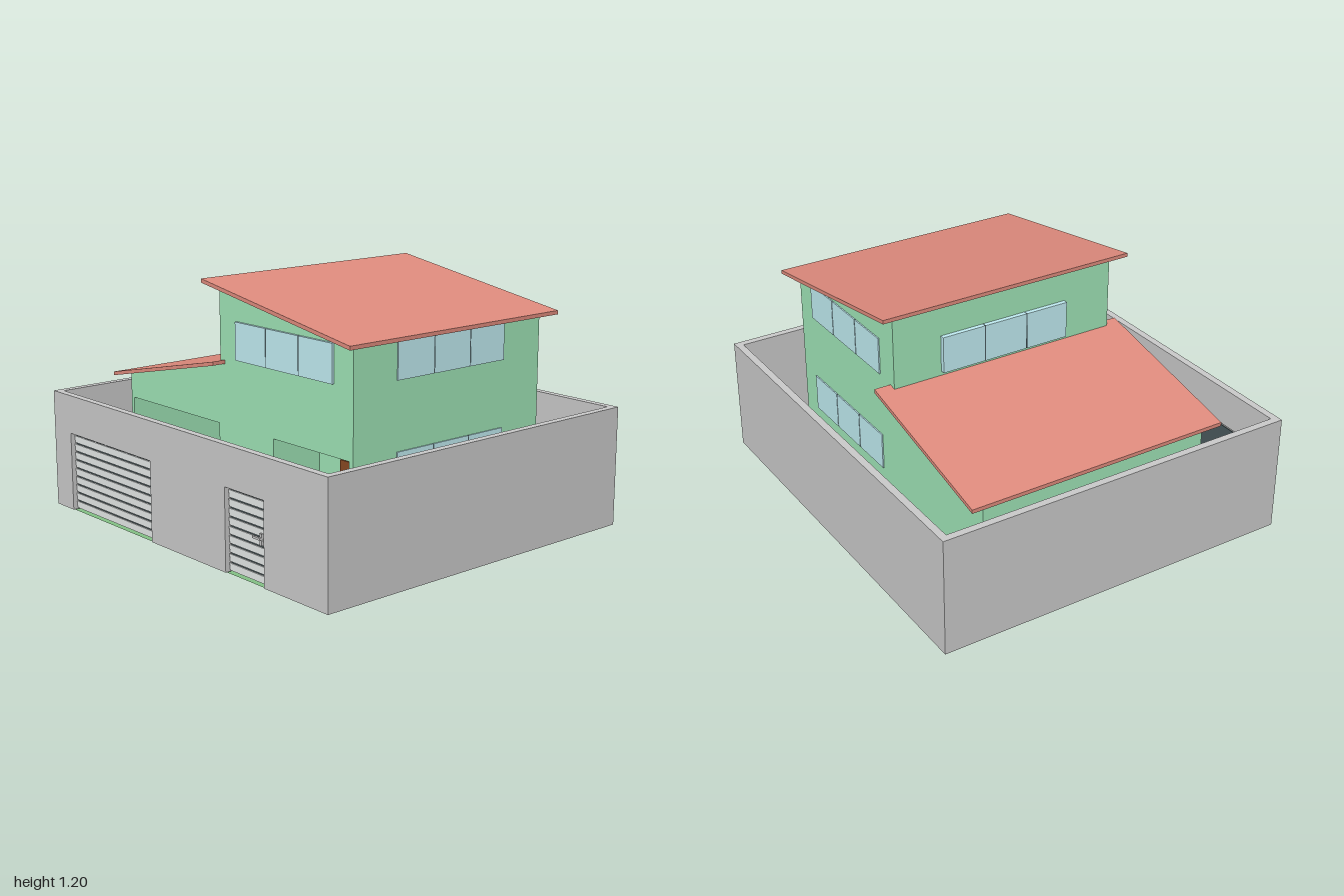
import * as THREE from 'three';

const mat = (color) => new THREE.MeshStandardMaterial({ color });

export function createModel() {
  const model = new THREE.Group();
  const grey = mat(0xcccccc), green = mat(0xa0e6b8), roofRed = mat(0xe08c7e);
  const glass = mat(0xc2eef4), white = mat(0xf2f6f5), wood = mat(0x8a4a22);
  const dark = mat(0x4a5a5e), paving = mat(0x98a2b0), grass = mat(0x84c286);
  grass.side = THREE.DoubleSide;

  const add = (name, geo, material, parent = model) => {
    const mesh = new THREE.Mesh(geo, material);
    mesh.name = name;
    parent.add(mesh);
    return mesh;
  };
  // Box given by its lower and upper limits on each axis
  const box = (name, x0, x1, y0, y1, z0, z1, material, parent) => {
    const mesh = add(name, new THREE.BoxGeometry(x1 - x0, y1 - y0, z1 - z0), material, parent);
    mesh.position.set((x0 + x1) / 2, (y0 + y1) / 2, (z0 + z1) / 2);
    return mesh;
  };
  // Outline in x,y drawn out from z0 to z1
  const slab = (name, points, z0, z1, material) => {
    const shape = new THREE.Shape(points.map(([x, y]) => new THREE.Vector2(x, y)));
    const mesh = add(name, new THREE.ExtrudeGeometry(shape, { depth: z1 - z0, bevelEnabled: false }), material);
    mesh.position.z = z0;
    return mesh;
  };

  // Perimeter wall with two gateways in the front
  const B = 0.035, H = 0.6, Z = 0.885, T = 0.035;
  slab('perimeterWallFront', [
    [-1, B], [-0.86, B], [-0.86, 0.415], [-0.205, 0.415], [-0.205, B],
    [0.34, B], [0.34, 0.415], [0.6, 0.415], [0.6, B], [1, B], [1, H], [-1, H],
  ], Z - T, Z, grey);
  box('perimeterWallBack', -1, 1, B, H, -Z, -Z + T, grey);
  for (const s of [-1, 1]) {
    const x = s * (1 - T / 2);
    box('perimeterWallSide', x - T / 2, x + T / 2, B, H, -Z + T, Z - T, grey);
  }

  // Slatted gates, each slat tilted a little
  const gate = (name, x0, x1, count) => {
    const group = new THREE.Group();
    group.name = name;
    box('gateBacking', x0, x1, 0.04, 0.405, 0.852, 0.856, dark, group);
    const pitch = 0.365 / count;
    for (let i = 0; i < count; i++) {
      const y = 0.04 + i * pitch;
      const slat = box('gateSlat', x0, x1, y + 0.003, y + pitch - 0.003, 0.86, 0.866, white, group);
      slat.rotation.x = 0.1;
    }
    model.add(group);
    return group;
  };
  gate('garageGate', -0.855, -0.21, 9);
  const entry = gate('entryGate', 0.345, 0.595, 9);
  box('handlePlate', 0.56, 0.574, 0.21, 0.262, 0.866, 0.876, grey, entry);
  box('handleLever', 0.525, 0.574, 0.236, 0.246, 0.876, 0.886, grey, entry);

  // Lawn with shallow dips near the front
  const lawn = new THREE.PlaneGeometry(1.94, 1.74, 40, 40).rotateX(-Math.PI / 2);
  const p = lawn.attributes.position;
  const dip = (x, z, cx, cz, w, d) => d * Math.exp(-(((x - cx) / w) ** 2) - ((z - cz) / 0.06) ** 2);
  for (let i = 0; i < p.count; i++) {
    const x = p.getX(i), z = p.getZ(i);
    p.setY(i, 0.03 - dip(x, z, -0.7, 0.7, 0.12, 0.03) - dip(x, z, -0.27, 0.7, 0.07, 0.023));
  }
  lawn.computeVertexNormals();
  add('lawn', lawn, grass);

  // Paving under the house and in front of it
  box('foundation', -0.9, 0.72, 0.015, 0.04, -0.635, 0.72, paving);
  box('terrace', -0.18, 0.69, 0.04, 0.045, -0.62, 0.72, grey);

  // House walls, their tops following the roof slopes
  const W = 0.015, x0 = -0.9, xm = -0.175, x1 = 0.725, zb = -0.635, zf = 0.505, F = 0.035;
  const highY = (x) => 1.182 - 0.16 * (x + 0.225);
  const lowY = (x) => 0.64 + 0.217 * (x + 0.945);
  slab('mainWallBack', [[xm, F], [x1, F], [x1, highY(x1)], [xm, highY(xm)]], zb, zb + W, green);
  slab('mainWallFront', [
    [xm, F], [0.2, F], [0.2, 0.53], [0.7, 0.53], [0.7, F], [x1, F], [x1, highY(x1)], [xm, highY(xm)],
  ], zf - W, zf, green);
  box('mainWallLeft', x1 - W, x1, F, highY(x1), zb + W, zf - W, green);
  box('mainWallRight', xm, xm + W, F, highY(xm + W), zb + W, zf - W, green);
  slab('carportWallBack', [[x0, F], [xm, F], [xm, lowY(xm)], [x0, lowY(x0)]], zb, zb + W, green);
  slab('carportWallFront', [
    [x0, F], [x0 + 0.02, F], [x0 + 0.02, 0.53], [xm - 0.015, 0.53], [xm - 0.015, F],
    [xm, F], [xm, lowY(xm)], [x0, lowY(x0)],
  ], zf - W, zf, green);
  box('carportWallRight', x0, x0 + W, F, lowY(x0), zb + W, zf - W, green);

  // Recessed porch with the house door
  const zp = 0.235;
  box('porchWallRight', 0.2 - W, 0.2, F, 0.53, zp, zf - W, green);
  box('porchWallLeft', 0.7, 0.7 + W / 2, F, 0.53, zp, zf - W, green);
  box('porchWallBack', 0.2 - W, 0.7, F, 0.53, zp - W, zp, green);
  box('porchCeiling', 0.2 - W, 0.7, 0.53, 0.54, zp - W, zf - W, green);
  box('houseDoor', 0.35, 0.53, 0.045, 0.42, zp, zp + 0.01, wood);

  // Single-pitch roofs
  const roof = (name, xa, xb, fy, za, zc) =>
    slab(name, [[xa, fy(xa)], [xb, fy(xb)], [xb, fy(xb) + 0.018], [xa, fy(xa) + 0.018]], za, zc, roofRed);
  roof('upperRoof', -0.225, 0.775, highY, -0.705, 0.57);
  roof('lowerRoof', -0.945, -0.14, lowY, -0.715, 0.575);

  // Three-pane windows; each is built facing +z, then turned into its wall
  const windowRow = (x, y, z, turn, out) => {
    const group = new THREE.Group();
    group.name = 'windowRow';
    for (let i = -1; i <= 1; i++) {
      box('windowPane', i * 0.22 - 0.107, i * 0.22 + 0.107, -0.0875, 0.0875, -0.01, out, glass, group);
    }
    for (const s of [-1, 1]) {
      box('windowMullion', s * 0.11 - 0.003, s * 0.11 + 0.003, -0.0875, 0.0875, -0.01, out - 0.002, dark, group);
    }
    group.position.set(x, y, z);
    group.rotation.y = turn;
    model.add(group);
  };
  windowRow(0.277, 0.933, zf, 0, 0.012);
  windowRow(xm, 0.933, -0.07, -Math.PI / 2, 0.022);
  for (const y of [0.445, 0.933]) {
    windowRow(0.277, y, zb, Math.PI, 0.006);
    windowRow(x1, y, -0.07, Math.PI / 2, 0.006);
  }
  return model;
}
